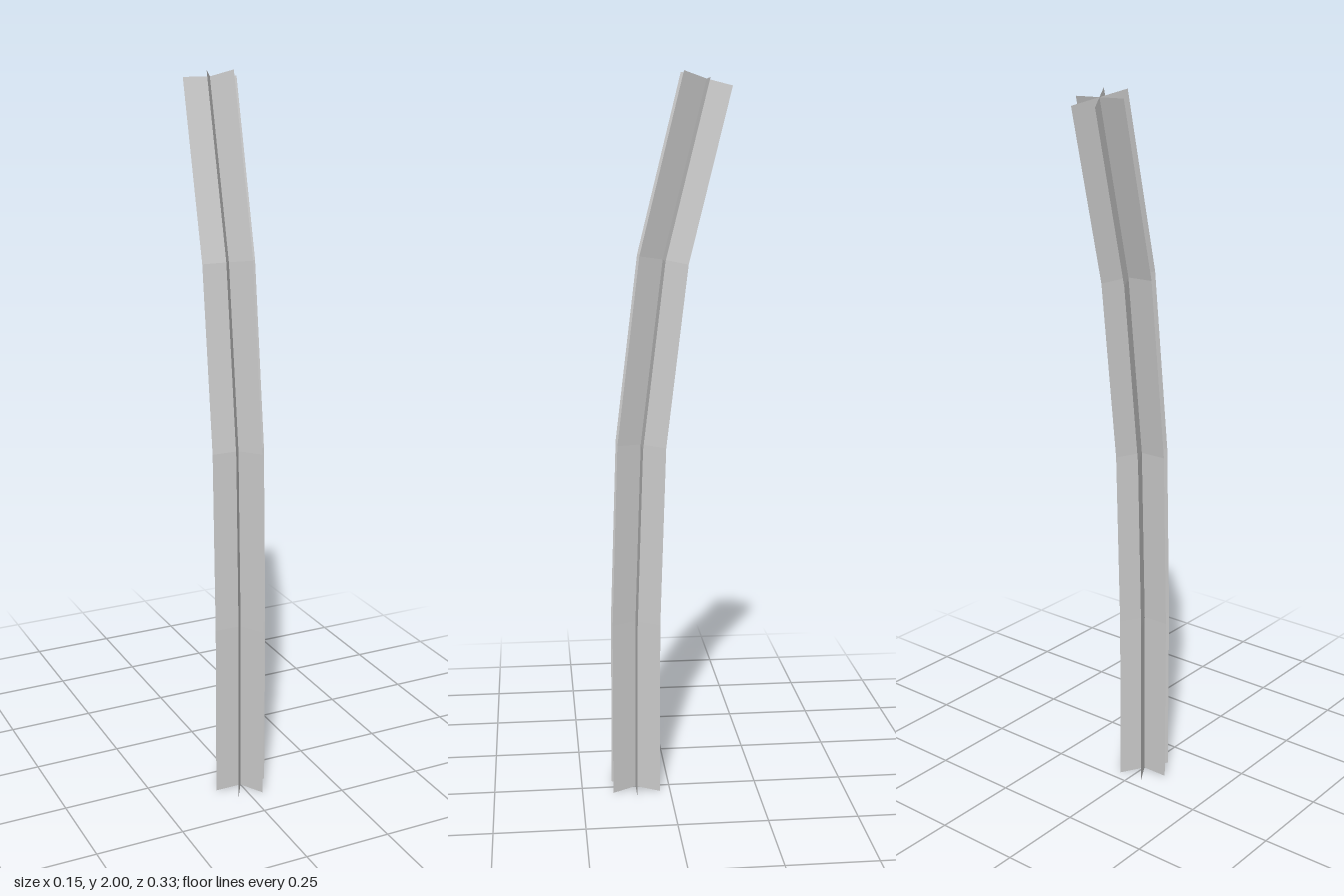
import * as THREE from 'three';

// Stem stations: height, z of the centre line, backward tilt in radians
const stations = [
  [0, 0.096, 0],
  [0.5, 0.094, 0.01],
  [1.008, 0.077, 0.065],
  [1.512, 0.016, 0.17],
  [1.981, -0.1, 0.288],
];
const halfWidth = 0.077;

// A thin ribbon following the bent stem, turned about it by the given angle
function bentBlade(angle) {
  const geometry = new THREE.PlaneGeometry(1, 1, 2, stations.length - 1);
  const pos = geometry.attributes.position;
  for (let i = 0; i < pos.count; i++) {
    const row = Math.round((0.5 + pos.getY(i)) * (stations.length - 1));
    const [y, z, tilt] = stations[row];
    const across = pos.getX(i) * 2 * halfWidth;
    const depth = across * Math.sin(angle);
    pos.setXYZ(
      i,
      across * Math.cos(angle),
      y + depth * Math.sin(tilt),
      z + depth * Math.cos(tilt)
    );
  }
  geometry.computeVertexNormals();
  return geometry;
}

export function createModel() {
  const model = new THREE.Group();
  model.name = 'bentStem';
  const material = new THREE.MeshStandardMaterial({
    color: 0xcccccc,
    side: THREE.DoubleSide,
    flatShading: true,
  });
  // Three blades crossing along the stem's centre line
  ['sidewaysBlade', 'leftDiagonalBlade', 'rightDiagonalBlade'].forEach((name, i) => {
    const blade = new THREE.Mesh(bentBlade((i * Math.PI) / 3), material);
    blade.name = name;
    model.add(blade);
  });
  return model;
}
